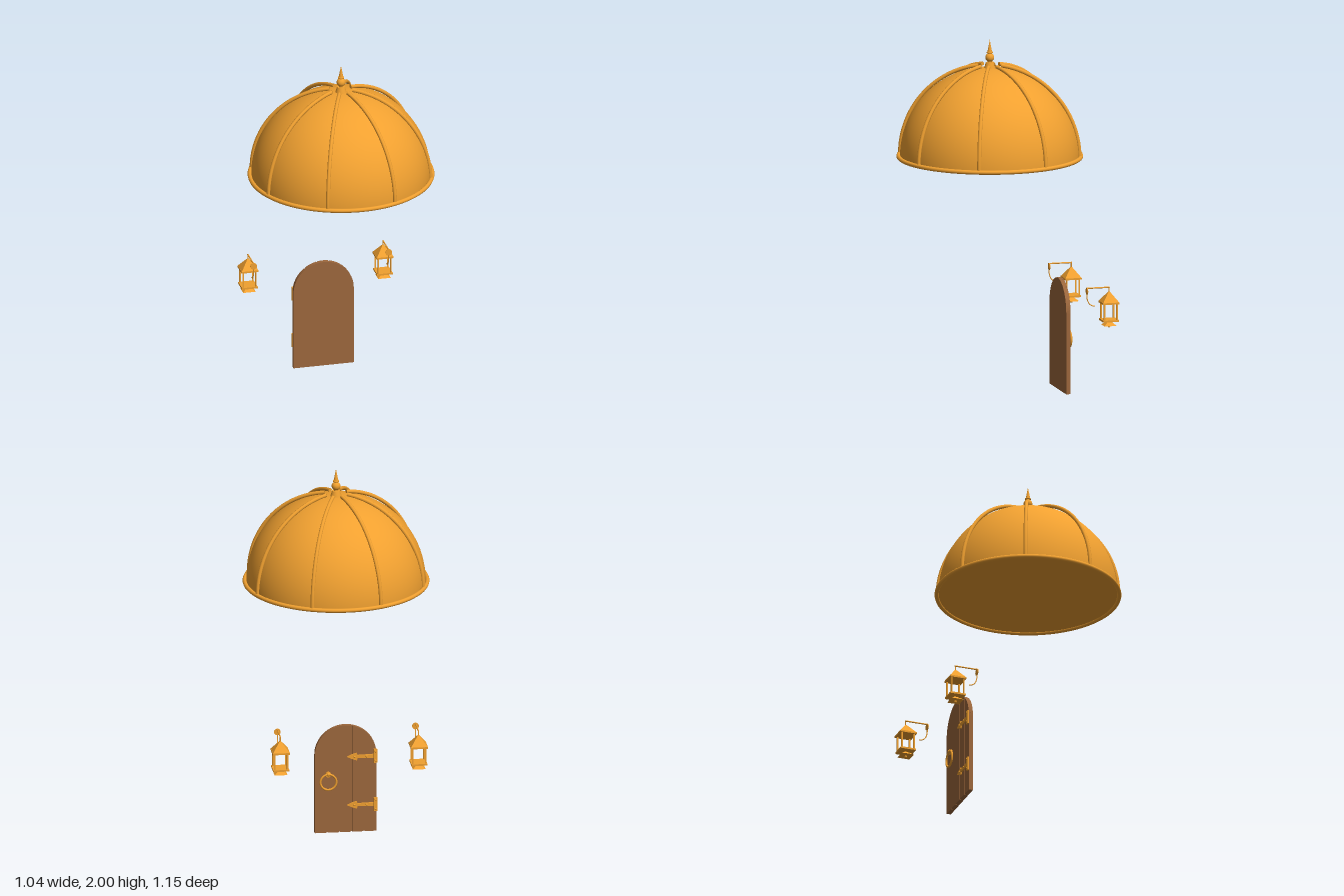
import * as THREE from 'three';

const gold = new THREE.MeshStandardMaterial({ color: 0xf0a030, side: THREE.DoubleSide });
const wood = new THREE.MeshStandardMaterial({ color: 0x9c673c });

function add(parent, name, geometry, x = 0, y = 0, z = 0, material = gold) {
  const mesh = new THREE.Mesh(geometry, material);
  mesh.name = name;
  mesh.position.set(x, y, z);
  parent.add(mesh);
  return mesh;
}

function group(parent, name, x = 0, y = 0, z = 0) {
  const g = new THREE.Group();
  g.name = name;
  g.position.set(x, y, z);
  parent.add(g);
  return g;
}

const extrude = (shape, depth) =>
  new THREE.ExtrudeGeometry(shape, { depth, bevelEnabled: false, curveSegments: 16 });

// Dome with closed underside, rim, ribs and finial
function buildDome(root) {
  const dome = group(root, 'dome', 0, 1.341, 0.05);
  add(dome, 'domeShell', new THREE.SphereGeometry(0.5, 64, 24, 0, Math.PI * 2, 0, Math.PI / 2));
  add(dome, 'domeUnderside', new THREE.CircleGeometry(0.5, 64).rotateX(Math.PI / 2));
  add(dome, 'rim', new THREE.TorusGeometry(0.509, 0.012, 10, 80).rotateX(Math.PI / 2));

  const points = [];
  for (let i = 0; i <= 16; i++) {
    const a = (i / 16) * 1.441;
    points.push(new THREE.Vector3(0.504 * Math.cos(a), 0.518 * Math.sin(a), 0));
  }
  const ribPath = new THREE.CatmullRomCurve3(points);
  const ribGeometry = new THREE.TubeGeometry(ribPath, 32, 0.011, 8);
  const capGeometry = new THREE.CircleGeometry(0.011, 8).rotateY(-Math.PI / 2);
  for (let i = 0; i < 8; i++) {
    const rib = group(dome, 'rib');
    rib.rotation.y = Math.PI / 8 + i * Math.PI / 4;
    add(rib, 'ribTube', ribGeometry);
    add(rib, 'ribEnd', capGeometry, points[16].x, points[16].y, 0);
  }

  // Finial: collar, ball, ring and spike
  add(dome, 'finialCollar', new THREE.CylinderGeometry(0.022, 0.032, 0.035, 20), 0, 0.513, 0);
  add(dome, 'finialNeck', new THREE.CylinderGeometry(0.012, 0.012, 0.09, 12), 0, 0.55, 0);
  add(dome, 'finialBall', new THREE.SphereGeometry(0.025, 20, 14), 0, 0.558, 0);
  add(dome, 'finialRing', new THREE.TorusGeometry(0.013, 0.005, 8, 20).rotateX(Math.PI / 2), 0, 0.587, 0);
  add(dome, 'finialSpike', new THREE.ConeGeometry(0.013, 0.069, 16), 0, 0.6245, 0);
}

// Vertical strip of the arched door between two x positions
const R = 0.173, SPRING = 0.457;
function archStrip(x0, x1) {
  const shape = new THREE.Shape();
  shape.moveTo(x0, 0);
  shape.lineTo(x1, 0);
  const n = Math.max(8, Math.round((x1 - x0) * 110));
  const a0 = Math.acos(x1 / R), a1 = Math.acos(x0 / R);
  for (let i = 0; i <= n; i++) {
    const a = a0 + (a1 - a0) * i / n;
    shape.lineTo(R * Math.cos(a), SPRING + R * Math.sin(a));
  }
  return shape;
}

// Door with planks, hinges and ring handle on its outer (back) side
function buildDoor(root) {
  const door = group(root, 'door');
  add(door, 'doorSlab', extrude(archStrip(-R, R), 0.016), 0, 0, -0.36, wood);
  const w = 2 * R / 5, gap = 0.003;
  for (let i = 0; i < 5; i++) {
    const x0 = -R + i * w + (i > 0 ? gap : 0);
    const x1 = -R + (i + 1) * w - (i < 4 ? gap : 0);
    add(door, 'plank', extrude(archStrip(x0, x1), 0.009), 0, 0, -0.369, wood);
  }

  // Strap with a spear-shaped tip
  const strap = new THREE.Shape();
  const outline = [[0, 0.011], [0.1, 0.008], [0.105, 0.022], [0.128, 0.015], [0.16, 0]];
  strap.moveTo(0, -0.011);
  outline.slice(1).forEach(([x, y]) => strap.lineTo(x, -y));
  outline.slice(0, -1).reverse().forEach(([x, y]) => strap.lineTo(x, y));
  for (const y of [0.445, 0.16]) {
    const hinge = group(door, 'hinge', -0.167, y, -0.369);
    add(hinge, 'hingePlate', new THREE.BoxGeometry(0.02, 0.08, 0.01), 0, 0, -0.005);
    add(hinge, 'hingeStrap', extrude(strap, 0.008), 0, 0, -0.008);
    for (const [sx, sy] of [[0, 0.027], [0, -0.027], [0.05, 0], [0.118, 0]])
      add(hinge, 'stud', new THREE.SphereGeometry(0.006, 10, 8), sx, sy, -0.009);
  }

  const handle = group(door, 'handle', 0.098, 0.303, -0.369);
  add(handle, 'handlePlate', new THREE.CylinderGeometry(0.016, 0.016, 0.008, 16).rotateX(Math.PI / 2), 0, 0.042, -0.004);
  add(handle, 'handleBoss', new THREE.SphereGeometry(0.011, 12, 10), 0, 0.045, -0.011);
  add(handle, 'handleRing', new THREE.TorusGeometry(0.045, 0.006, 8, 32), 0, 0, -0.013);
}

// Four-sided cone or frustum aligned with the axes, sized by half widths
function pyramid(top, bottom, height) {
  const g = new THREE.CylinderGeometry(top * Math.SQRT2, bottom * Math.SQRT2, height, 4);
  g.rotateY(Math.PI / 4);
  const flat = g.toNonIndexed();
  flat.computeVertexNormals();
  return flat;
}

// Lantern hanging from a wall bracket
function buildLantern(root, x) {
  const lantern = group(root, 'lantern', x, 0, -0.531);
  add(lantern, 'lanternRoof', pyramid(0.005, 0.047, 0.055), 0, 0.583, 0);
  add(lantern, 'lanternEave', new THREE.BoxGeometry(0.096, 0.01, 0.096), 0, 0.551, 0);
  add(lantern, 'lanternBase', new THREE.BoxGeometry(0.09, 0.01, 0.09), 0, 0.451, 0);
  for (const sx of [-1, 1]) for (const sz of [-1, 1])
    add(lantern, 'lanternPost', new THREE.BoxGeometry(0.008, 0.095, 0.008), sx * 0.036, 0.501, sz * 0.036);
  add(lantern, 'lanternFoot', pyramid(0.006, 0.036, 0.024), 0, 0.434, 0);
  add(lantern, 'lanternTip', new THREE.SphereGeometry(0.008, 10, 8), 0, 0.417, 0);
  add(lantern, 'hangingRod', new THREE.CylinderGeometry(0.003, 0.003, 0.035, 8), 0, 0.622, 0);

  const bracket = group(lantern, 'bracket');
  add(bracket, 'wallPlate', new THREE.CylinderGeometry(0.019, 0.019, 0.005, 20).rotateX(Math.PI / 2), 0, 0.621, 0.128);
  add(bracket, 'arm', new THREE.CylinderGeometry(0.004, 0.004, 0.132, 8).rotateX(Math.PI / 2), 0, 0.637, 0.063);
  const scroll = new THREE.QuadraticBezierCurve3(
    new THREE.Vector3(0, 0.602, 0.129), new THREE.Vector3(0, 0.536, 0.128), new THREE.Vector3(0, 0.534, 0.081));
  add(bracket, 'scroll', new THREE.TubeGeometry(scroll, 16, 0.003, 6));
}

export function createModel() {
  const root = new THREE.Group();
  root.name = 'domeDoorAndLanterns';
  buildDome(root);
  buildDoor(root);
  for (const side of [-1, 1]) buildLantern(root, side * 0.388);
  return root;
}
